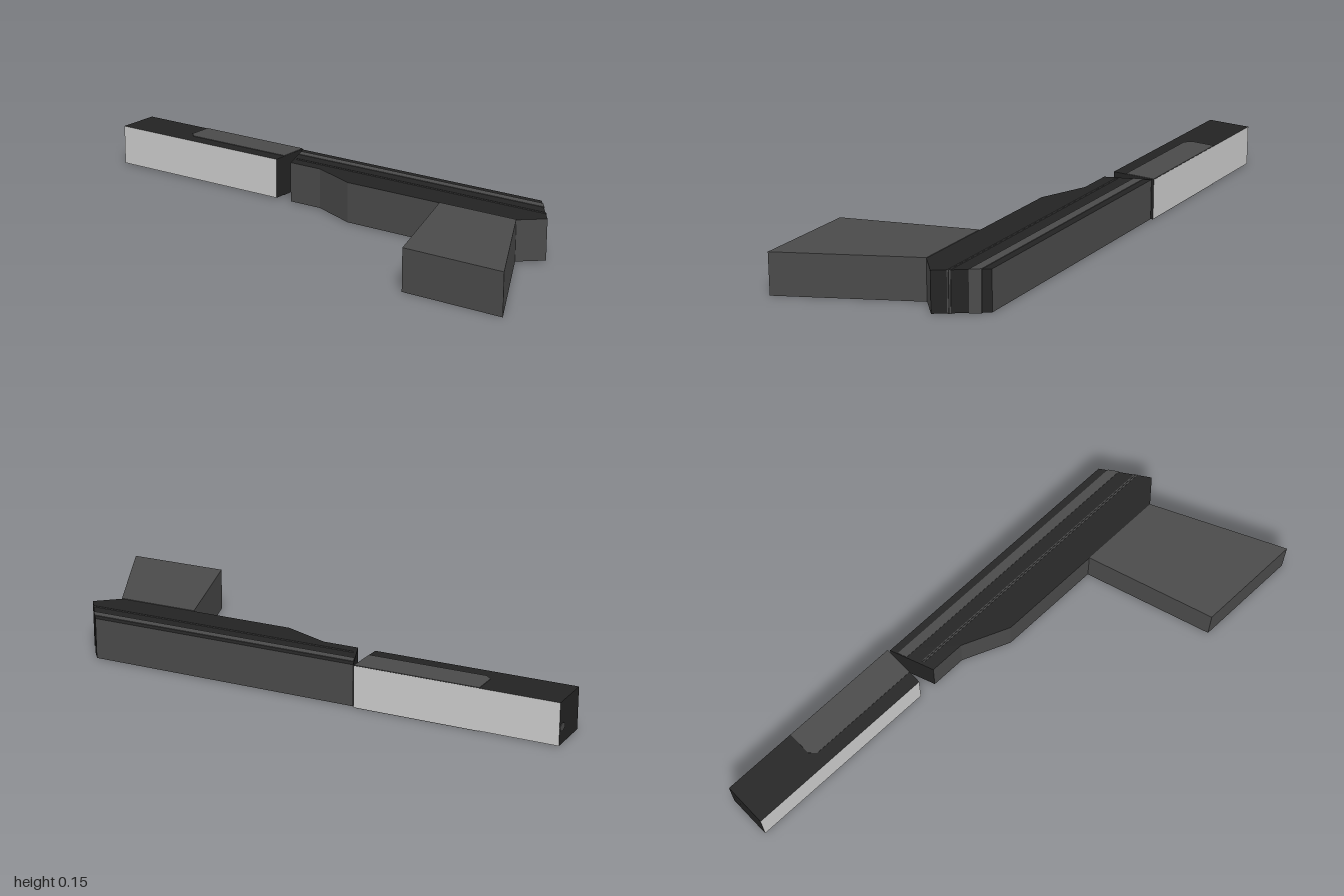
import * as THREE from 'three';

const grey = new THREE.MeshStandardMaterial({ color: 0x4a4a4a });
const dark = new THREE.MeshStandardMaterial({ color: 0x232323 });
const light = new THREE.MeshStandardMaterial({ color: 0xcccccc });
grey.name = 'midGrey';
dark.name = 'nearBlack';
light.name = 'lightGrey';

const HEIGHT = 0.15;
const SKIN = 0.002; // how far painted plates stand proud

// Upright prism from a plan outline of [x, z] points
function prism(outline, y0, y1) {
  const shape = new THREE.Shape(outline.map(([x, z]) => new THREE.Vector2(x, -z)));
  const geometry = new THREE.ExtrudeGeometry(shape, { depth: y1 - y0, bevelEnabled: false });
  return geometry.rotateX(-Math.PI / 2).translate(0, y0, 0);
}

// Choose a material index for each triangle from its normal
function paintByNormal(geometry, rule) {
  const normal = geometry.attributes.normal;
  geometry.clearGroups();
  for (let i = 0; i < normal.count; i += 3) {
    geometry.addGroup(i, 3, rule(Math.abs(normal.getX(i)), Math.abs(normal.getY(i)), Math.abs(normal.getZ(i))));
  }
  return geometry;
}

export function createModel() {
  const model = new THREE.Group();
  const add = (name, geometry, material) => {
    const mesh = new THREE.Mesh(geometry, material);
    mesh.name = name;
    model.add(mesh);
  };

  // Angled grip
  add('grip', prism([[0.11, 0.47], [0.11, 0.77], [-0.343, 0.998], [-0.343, 0.622]], 0, HEIGHT), grey);

  // Main body: dark faces and ends, grey flanks
  const body = prism([
    [0.335, -0.27], [0.18, -0.21], [0.18, -0.08], [0.11, 0.09],
    [0.11, 0.77], [0.18, 0.848], [0.335, 0.735],
  ], SKIN, HEIGHT - SKIN);
  add('body', paintByNormal(body, (nx, ny, nz) => (ny > 0.5 || nz > 0.75 ? 1 : 0)), [grey, dark]);

  // Stripes running along the body and down its slanted front
  const frontZ = (x) => 0.848 - (x - 0.18) * 0.729 + SKIN;
  const backZ = (x) => -0.21 - (x - 0.18) * 0.387 + SKIN;
  for (const [name, x0, x1, inset] of [
    ['wideStripe', 0.277, 0.309, 0],
    ['thinStripe', 0.222, 0.225, 0.01],
    ['fineStripe', 0.228, 0.231, 0.01],
  ]) {
    add(name, prism([
      [x0, backZ(x0) + inset], [x0, frontZ(x0)], [x1, frontZ(x1)], [x1, backZ(x1) + inset],
    ], 0, HEIGHT), grey);
  }

  // Rear bar: light flanks, dark elsewhere
  const bar = prism([[0.181, -0.998], [0.181, -0.275], [0.342, -0.275], [0.342, -0.998]], SKIN, HEIGHT - SKIN);
  add('rearBar', paintByNormal(bar, (nx) => (nx > 0.5 ? 0 : 1)), [light, dark]);

  // Grey panels above and below the rear bar
  const panel = [[0.23, -0.276], [0.23, -0.7], [0.252, -0.722], [0.341, -0.722], [0.341, -0.276]];
  add('topPanel', prism(panel, HEIGHT - 2 * SKIN, HEIGHT), grey);
  add('bottomPanel', prism(panel, 0, 2 * SKIN), grey);

  // Small oval mark on the rear end
  const mark = new THREE.CylinderGeometry(1, 1, 2 * SKIN, 16).rotateX(Math.PI / 2);
  add('endMark', mark.scale(0.021, 0.013, 1).translate(0.319, 0.06, -0.998), grey);

  return model;
}
